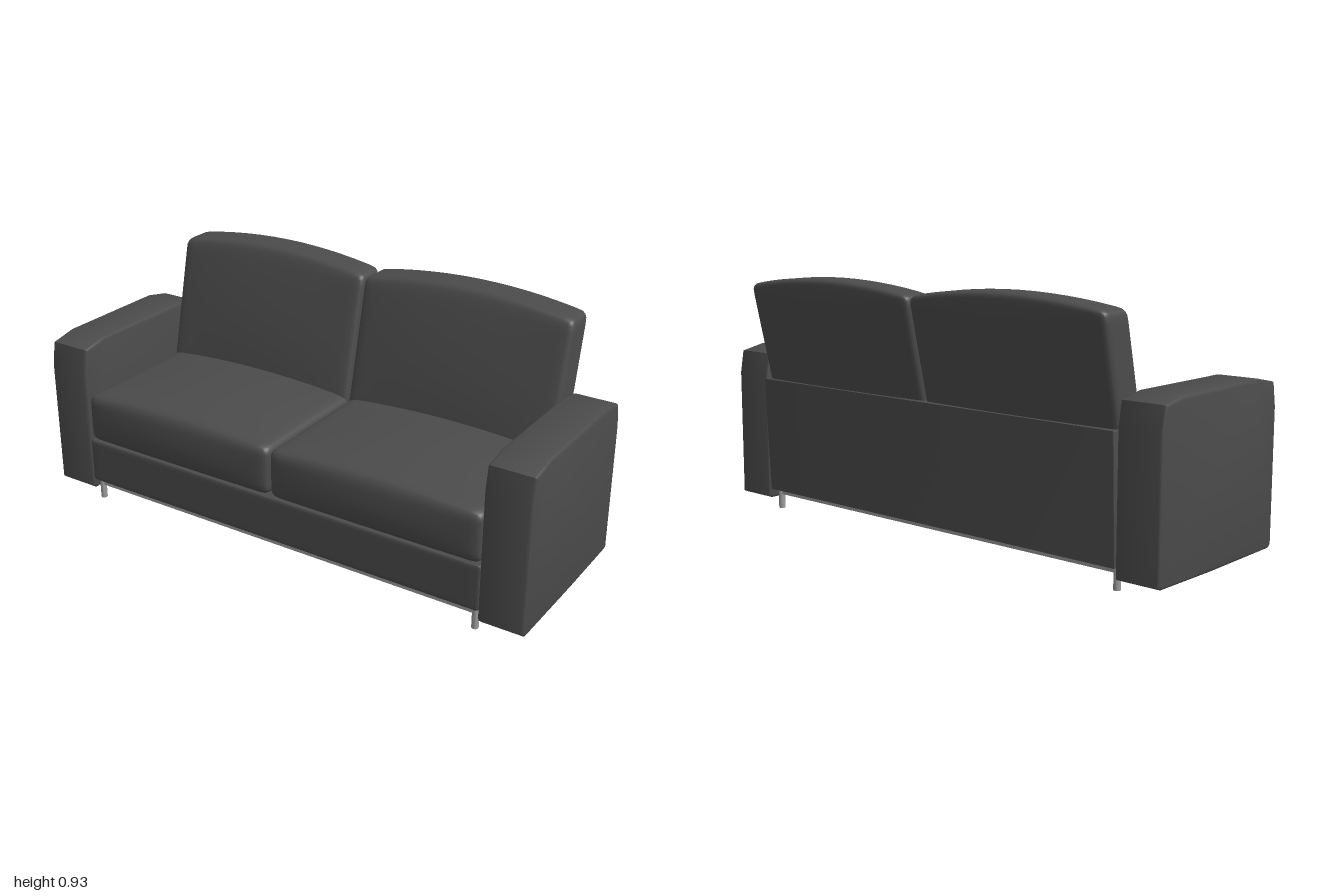
import * as THREE from 'three';
import { mergeVertices, toCreasedNormals } from 'three/addons/utils/BufferGeometryUtils.js';

const fabric = new THREE.MeshStandardMaterial({ color: 0x4b4b4b });
fabric.name = 'charcoal fabric';
const metal = new THREE.MeshStandardMaterial({ color: 0x9c9c9c });
metal.name = 'grey metal';

function add(parent, name, geometry, material, x = 0, y = 0, z = 0) {
  const mesh = new THREE.Mesh(geometry, material);
  mesh.name = name;
  mesh.position.set(x, y, z);
  parent.add(mesh);
  return mesh;
}

// Rounded box with grid lines packed towards its edges, then bent by shape(point, u, v, w), u v w in -1..1
function softBox(w, h, d, r, shape) {
  let geo = new THREE.BoxGeometry(2, 2, 2, 20, 16, 20);
  geo.deleteAttribute('normal');
  geo.deleteAttribute('uv');
  geo = mergeVertices(geo);
  const pos = geo.attributes.position;
  const half = new THREE.Vector3(w / 2, h / 2, d / 2);
  const inner = half.clone().subScalar(r);
  const p = new THREE.Vector3(), core = new THREE.Vector3();
  for (let i = 0; i < pos.count; i++) {
    p.fromBufferAttribute(pos, i);
    p.set(...p.toArray().map((t) => Math.sin(t * Math.PI / 2))).multiply(half);
    core.copy(p).clamp(inner.clone().negate(), inner);
    p.sub(core).setLength(r).add(core);
    shape(p, p.x / half.x, p.y / half.y, p.z / half.z);
    pos.setXYZ(i, p.x, p.y, p.z);
  }
  geo.computeVertexNormals();
  return geo;
}

// Side profile given as [z, y] pairs, extruded along x about the centre
function sideExtrude(points, width, bevel) {
  const shape = new THREE.Shape(points.map(([z, y]) => new THREE.Vector2(z, y)));
  const geo = new THREE.ExtrudeGeometry(shape, {
    depth: width - 2 * bevel, bevelEnabled: true, bevelSize: bevel,
    bevelThickness: bevel, bevelOffset: -bevel, bevelSegments: 3,
  });
  geo.translate(0, 0, bevel - width / 2);
  geo.rotateY(-Math.PI / 2);
  return toCreasedNormals(geo, 0.6);
}

export function createModel() {
  const sofa = new THREE.Group();
  sofa.name = 'sofa';
  const bump = (t) => Math.max(0, 1 - t * t);

  // Base and leaning back panel
  add(sofa, 'base', softBox(1.67, 0.175, 0.66, 0.012, () => {}), fabric, 0, 0.1675, 0.045);
  add(sofa, 'backPanel', sideExtrude(
    [[-0.27, 0.08], [-0.27, 0.52], [-0.315, 0.52], [-0.297, 0.08]], 1.66, 0.003), fabric);

  const armProfile = [
    [0.36, 0.04], [0.375, 0.052], [0.375, 0.53], [0.36, 0.615], [0.26, 0.635],
    [-0.19, 0.635], [-0.285, 0.615], [-0.3, 0.53], [-0.3, 0.048], [-0.285, 0.042], [0, 0.038],
  ];
  const armGeo = sideExtrude(armProfile, 0.167, 0.01);

  // Seat cushion: crowned top and bulging front
  const seatGeo = softBox(0.832, 0.19, 0.6, 0.035, (p, u, v, w) => {
    if (v > 0) p.y += 0.032 * v * bump(u) * (0.55 + 0.45 * bump(w));
    if (w > 0) p.z += 0.014 * w * bump(u) * bump(v);
  });

  // Back cushion: arched top, padded faces, leaning backwards
  const backGeo = softBox(0.83, 0.49, 0.135, 0.028, (p, u, v, w) => {
    p.z += 0.016 * w * bump(u) * bump(v);
    if (v > 0) p.y += 0.038 * v * bump(u);
    p.z -= 0.23 * p.y;
  });

  const legGeo = new THREE.CylinderGeometry(0.0125, 0.0125, 0.085, 12);
  const railGeo = new THREE.BoxGeometry(0.012, 0.025, 0.602);
  for (const side of [-1, 1]) {
    const label = side > 0 ? 'left' : 'right';
    add(sofa, label + 'Arm', armGeo, fabric, side * 0.9165);
    add(sofa, label + 'SeatCushion', seatGeo, fabric, side * 0.417, 0.346, 0.077);
    add(sofa, label + 'BackCushion', backGeo, fabric, side * 0.417, 0.645, -0.251);
    // Metal legs and the side rail joining them
    add(sofa, label + 'Rail', railGeo, metal, side * 0.813, 0.0685, 0.044);
    add(sofa, label + 'FrontLeg', legGeo, metal, side * 0.813, 0.0425, 0.345);
    add(sofa, label + 'BackLeg', legGeo, metal, side * 0.813, 0.0425, -0.257);
  }

  // Long rails under the base
  const longRail = new THREE.BoxGeometry(1.626, 0.025, 0.012);
  add(sofa, 'frontRail', longRail, metal, 0, 0.0685, 0.345);
  add(sofa, 'backRail', longRail, metal, 0, 0.0685, -0.257);
  return sofa;
}
